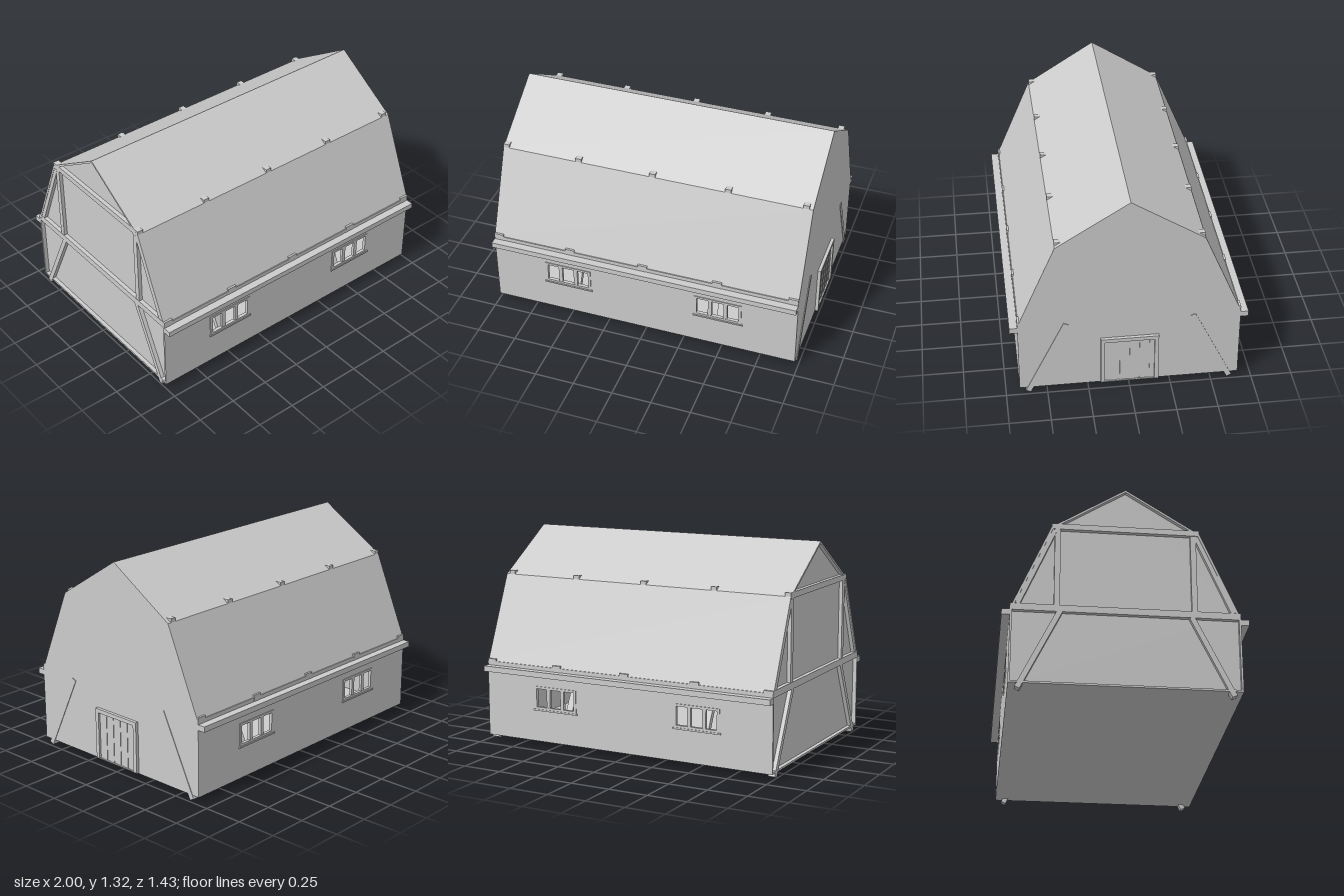
import * as THREE from 'three';

const MAT = new THREE.MeshStandardMaterial({ color: 0xcccccc, flatShading: true, side: THREE.DoubleSide });
const X0 = -1, X1 = 0.98, LEN = X1 - X0, XM = (X0 + X1) / 2;
const FLOOR = 0.035, WALL_Z = 0.667, T = 0.012;

function add(parent, name, geometry) {
  const mesh = new THREE.Mesh(geometry, MAT);
  mesh.name = name;
  parent.add(mesh);
  return mesh;
}

// Box given by its minimum and maximum on each axis
function box(parent, name, x0, x1, y0, y1, z0, z1) {
  const mesh = add(parent, name, new THREE.BoxGeometry(x1 - x0, y1 - y0, z1 - z0));
  mesh.position.set((x0 + x1) / 2, (y0 + y1) / 2, (z0 + z1) / 2);
  return mesh;
}

// Bar in the z-y plane running between two points [z, y]
function bar(parent, name, x0, x1, a, b, width) {
  const dz = b[0] - a[0], dy = b[1] - a[1];
  const mesh = add(parent, name, new THREE.BoxGeometry(x1 - x0, Math.hypot(dz, dy), width));
  mesh.position.set((x0 + x1) / 2, (a[1] + b[1]) / 2, (a[0] + b[0]) / 2);
  mesh.rotation.x = Math.atan2(dz, dy);
  return mesh;
}

// Polygon of [z, y] points extruded along x
function prism(parent, name, points, x0, x1) {
  const shape = new THREE.Shape(points.map(([z, y]) => new THREE.Vector2(-z, y)));
  const geometry = new THREE.ExtrudeGeometry(shape, { depth: x1 - x0, bevelEnabled: false });
  geometry.rotateY(Math.PI / 2);
  geometry.translate(x0, 0, 0);
  return add(parent, name, geometry);
}

function rectHole(x0, x1, y0, y1) {
  const h = new THREE.Path();
  h.moveTo(x0, y0).lineTo(x0, y1).lineTo(x1, y1).lineTo(x1, y0).closePath();
  return h;
}

// Framed window with three panes, built on the front wall
function makeWindow(cx) {
  const g = new THREE.Group();
  g.name = 'window';
  const z0 = WALL_Z - T - 0.004, z1 = WALL_Z + 0.005;
  const l = cx - 0.152, r = cx + 0.152;
  box(g, 'windowHead', l, r, 0.373, 0.388, z0, z1);
  box(g, 'windowFoot', l, r, 0.243, 0.257, z0, z1);
  box(g, 'windowSill', l - 0.005, r + 0.01, 0.233, 0.243, z0, z1 + 0.004);
  box(g, 'windowJamb', l, l + 0.017, 0.257, 0.373, z0, z1);
  box(g, 'windowJamb', r - 0.017, r, 0.257, 0.373, z0, z1);
  for (const m of [-0.05, 0.05])
    box(g, 'windowMullion', cx + m - 0.012, cx + m + 0.012, 0.257, 0.373, z0, z1 - 0.002);
  return g;
}

export function createModel() {
  const barn = new THREE.Group();
  barn.name = 'barn';

  // Gambrel outline, one half
  const half = [[WALL_Z, FLOOR], [WALL_Z, 0.505], [0.657, 0.525], [0.437, 1.043]];
  const outline = [...half, [0, 1.32], ...half.map(([z, y]) => [-z, y]).reverse()];
  // Gables sit just under the roof skin
  const gable = outline.map(([z, y]) => [z * 0.998, y > 1 ? y - 0.002 : y]);

  // Shell
  const shell = new THREE.Group();
  shell.name = 'shell';
  barn.add(shell);
  prism(shell, 'rightGable', gable, X1 - T, X1);
  prism(shell, 'leftGable', gable, X0 + 0.026, X0 + 0.026 + T);
  box(shell, 'floor', X0 + 0.001, X1 - 0.001, FLOOR, FLOOR + T, -WALL_Z + 0.001, WALL_Z - 0.001);

  const windowXs = [-0.508, 0.478];
  for (const s of [1, -1]) {
    const side = new THREE.Group();
    side.name = s > 0 ? 'frontSide' : 'backSide';
    shell.add(side);

    // Long wall with window openings
    const wall = new THREE.Shape();
    wall.moveTo(X0, FLOOR).lineTo(X1, FLOOR).lineTo(X1, 0.515).lineTo(X0, 0.515).closePath();
    for (const x of windowXs) wall.holes.push(rectHole(x - 0.14, x + 0.14, 0.255, 0.375));
    const wallMesh = add(side, 'longWall', new THREE.ExtrudeGeometry(wall, { depth: T, bevelEnabled: false }));
    wallMesh.position.z = s > 0 ? WALL_Z - T : -WALL_Z;

    // Windows, mirrored to the back by a half turn
    for (const x of windowXs) {
      const w = makeWindow(x * s);
      if (s < 0) w.rotation.y = Math.PI;
      side.add(w);
    }

    // Steep and shallow roof planes
    prism(side, 'lowerRoof', [[s * 0.662, 0.513], [s * 0.437, 1.043], [s * 0.425, 1.037], [s * 0.65, 0.507]], X0, X1);
    prism(side, 'upperRoof', [[s * 0.437, 1.043], [0, 1.32], [0, 1.306], [s * 0.43, 1.032]], X0, X1);

    // Eave beam
    const eave = [s * 0.66, s * 0.715].sort((a, b) => a - b);
    box(side, 'eaveBeam', X0, X1, 0.455, 0.49, eave[0], eave[1]);
  }

  // Timber trusses, exposed at the left gable
  for (let i = 0; i < 5; i++) {
    const truss = new THREE.Group();
    truss.name = 'truss';
    barn.add(truss);
    const x = X0 + 0.0005 + i * 0.4795, wide = x + 0.06, narrow = x + 0.038;
    const end = i === 0 || i === 4;
    // Right end legs stand slightly proud of the gable
    const legX0 = i === 4 ? X1 - 0.04 : x + 0.001;
    const legX1 = i === 4 ? X1 + 0.004 : x + 0.045;
    box(truss, 'eaveTie', x, wide, 0.488, 0.53, -0.668, 0.668);
    box(truss, 'collarTie', x, narrow, 1.03, 1.066, -0.437, 0.437);
    for (const s of [1, -1]) {
      const foot = end ? [s * 0.615, 0.007] : [s * 0.596, 0.045];
      bar(truss, 'braceLeg', legX0, legX1, foot, [s * 0.379, 0.497], 0.032);
      bar(truss, 'post', x + 0.003, narrow, [s * 0.4, 0.53], [s * 0.4, 1.03], 0.034);
      bar(truss, 'rafter', x + 0.002, narrow, [s * 0.627, 0.53], [s * 0.418, 1.025], 0.03);
    }
  }

  // Door in the right gable
  const door = new THREE.Group();
  door.name = 'door';
  barn.add(door);
  const dx = X1 - 0.005;
  box(door, 'doorHead', dx, 1, 0.345, 0.37, -0.175, 0.175);
  box(door, 'doorSill', dx, 0.996, 0.04, 0.046, -0.175, 0.175);
  for (const s of [1, -1])
    box(door, 'doorJamb', dx, 1, 0.046, 0.345, s * 0.1625 - 0.0125, s * 0.1625 + 0.0125);
  for (let i = 0; i < 10; i++) {
    const z = -0.15 + i * 0.03;
    box(door, 'doorPlank', dx, i % 2 ? 0.986 : 0.989, 0.046, 0.345, z, z + 0.03);
  }
  return barn;
}
